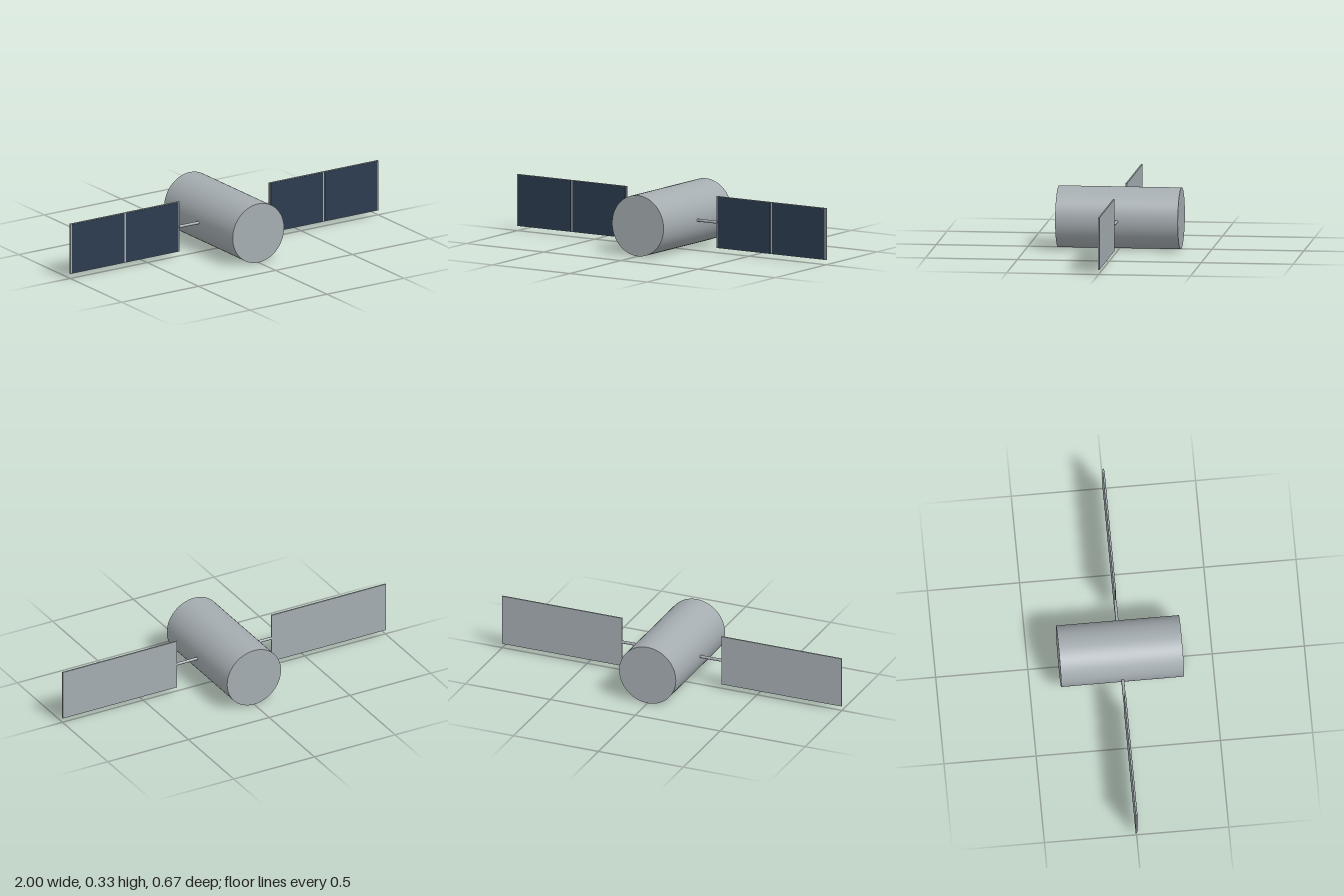
import * as THREE from 'three';

const RADIUS = 0.1667;

export function createModel() {
  const group = new THREE.Group();
  const metal = new THREE.MeshStandardMaterial({ name: 'silver grey', color: 0xa5adb1 });
  const cellBlue = new THREE.MeshStandardMaterial({ name: 'dark navy', color: 0x2c3b50 });

  const add = (name, geometry, material, x, y, z) => {
    const mesh = new THREE.Mesh(geometry, material);
    mesh.name = name;
    mesh.position.set(x, y, z);
    group.add(mesh);
    return mesh;
  };

  // Cylindrical hull lying along z
  const hull = new THREE.CylinderGeometry(RADIUS, RADIUS, 0.667, 64).rotateX(Math.PI / 2);
  add('hull', hull, metal, 0, RADIUS, 0);

  // A solar wing on each side
  for (const [side, s] of [['left', 1], ['right', -1]]) {
    // Boom from inside the hull to the wing
    const boom = new THREE.CylinderGeometry(0.008, 0.008, 0.144, 16).rotateZ(Math.PI / 2);
    add(side + 'Boom', boom, metal, s * 0.222, RADIUS, 0);

    // Backing panel
    add(side + 'Panel', new THREE.BoxGeometry(0.708, 0.284, 0.008), metal, s * 0.646, 0.168, -0.001);

    // Two dark cell plates on the front, with the frame showing between and around them
    for (const [cell, x] of [['Inner', 0.47], ['Outer', 0.822]]) {
      add(side + cell + 'Cell', new THREE.BoxGeometry(0.34, 0.278, 0.002), cellBlue, s * x, 0.168, 0.004);
    }
  }
  return group;
}
